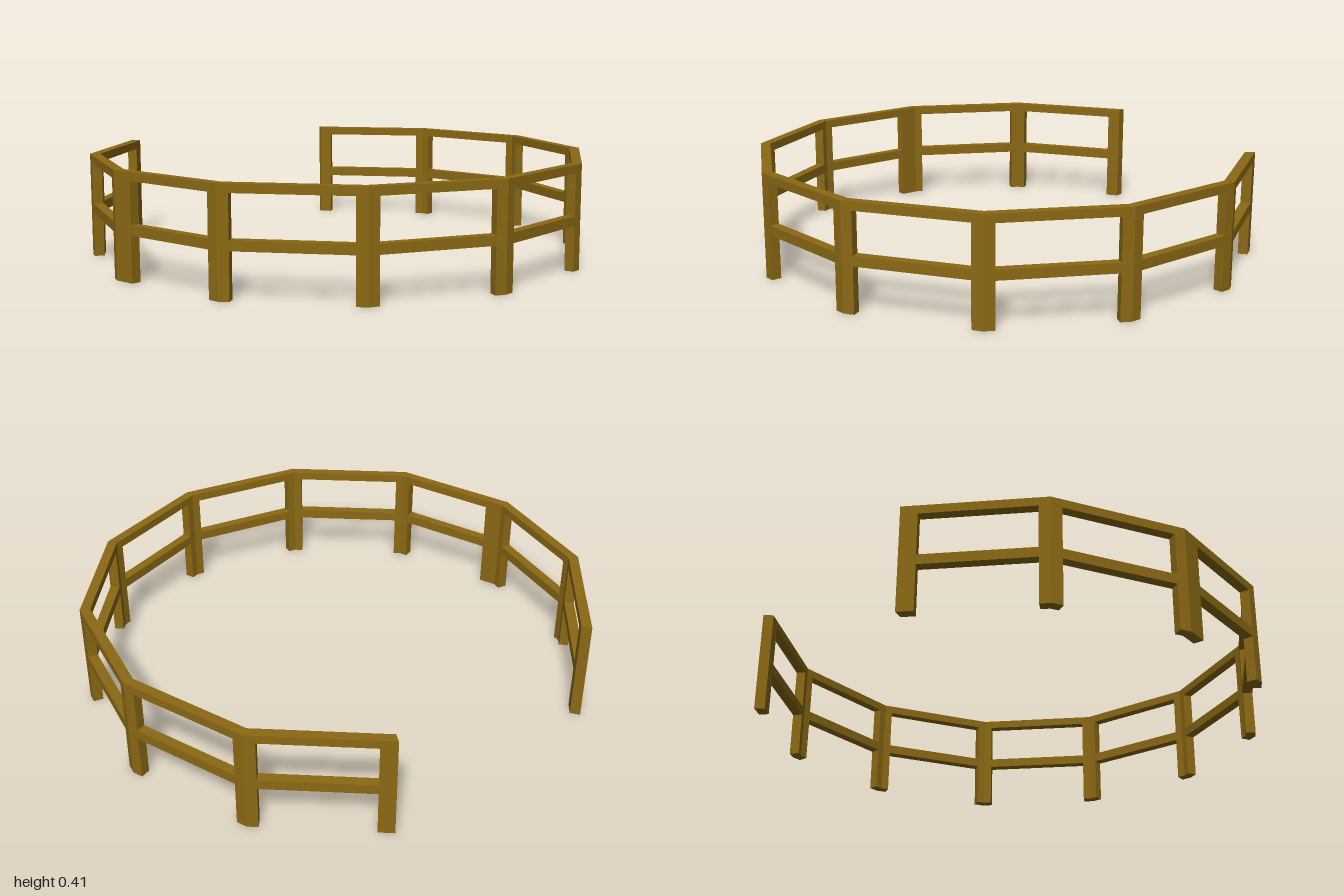
import * as THREE from 'three';

const OUTER = 1, INNER = 0.96, CENTRE_X = -0.067;
const HEIGHT = 0.408, TOP_RAIL = 0.375, MID_LOW = 0.176, MID_HIGH = 0.214;
const STEP = Math.PI / 6, LAST = 5; // corners run from -LAST to +LAST, open towards -x

const corner = (i, r) => new THREE.Vector2(CENTRE_X + r * Math.cos(i * STEP), r * Math.sin(i * STEP));

export function createModel() {
  const group = new THREE.Group();
  const material = new THREE.MeshStandardMaterial({ color: 0x8b6914, flatShading: true });

  // Upright prism over a plan outline given as (x, z) points
  function prism(name, plan, y0, y1) {
    const shape = new THREE.Shape(plan.map((p) => new THREE.Vector2(p.x, -p.y)));
    const geometry = new THREE.ExtrudeGeometry(shape, { depth: y1 - y0, bevelEnabled: false });
    geometry.rotateX(-Math.PI / 2).translate(0, y0, 0);
    const mesh = new THREE.Mesh(geometry, material);
    mesh.name = name;
    group.add(mesh);
  }

  // Rails: one mitred horseshoe outline each
  const outline = [];
  for (let i = -LAST; i <= LAST; i++) outline.push(corner(i, OUTER));
  for (let i = LAST; i >= -LAST; i--) outline.push(corner(i, INNER));
  prism('topRail', outline, TOP_RAIL, HEIGHT);
  prism('middleRail', outline, MID_LOW, MID_HIGH);

  // Square-cut end of a post leg: outer then inner point, along the side towards corner i + dir
  function legEnd(i, dir, length) {
    const a = corner(i, OUTER);
    const along = corner(i + dir, OUTER).sub(a).normalize();
    const outer = a.clone().addScaledVector(along, length);
    const mid = (i + dir / 2) * STEP;
    const thickness = (OUTER - INNER) * Math.cos(STEP / 2);
    const inner = outer.clone().add(new THREE.Vector2(-Math.cos(mid), -Math.sin(mid)).multiplyScalar(thickness));
    return [outer, inner];
  }

  // Posts: bent around each corner, single-legged at the two open ends
  for (let i = -LAST; i <= LAST; i++) {
    const width = Math.abs(i) === LAST ? 0.062 : 0.042;
    const plan = [corner(i, OUTER)];
    if (i < LAST) plan.push(...legEnd(i, 1, width));
    plan.push(corner(i, INNER));
    // the post on the front side has one wider leg
    if (i > -LAST) plan.push(...legEnd(i, -1, i === 3 ? 0.084 : width).reverse());
    prism(Math.abs(i) === LAST ? 'endPost' : 'post', plan, 0, TOP_RAIL);
  }
  return group;
}
